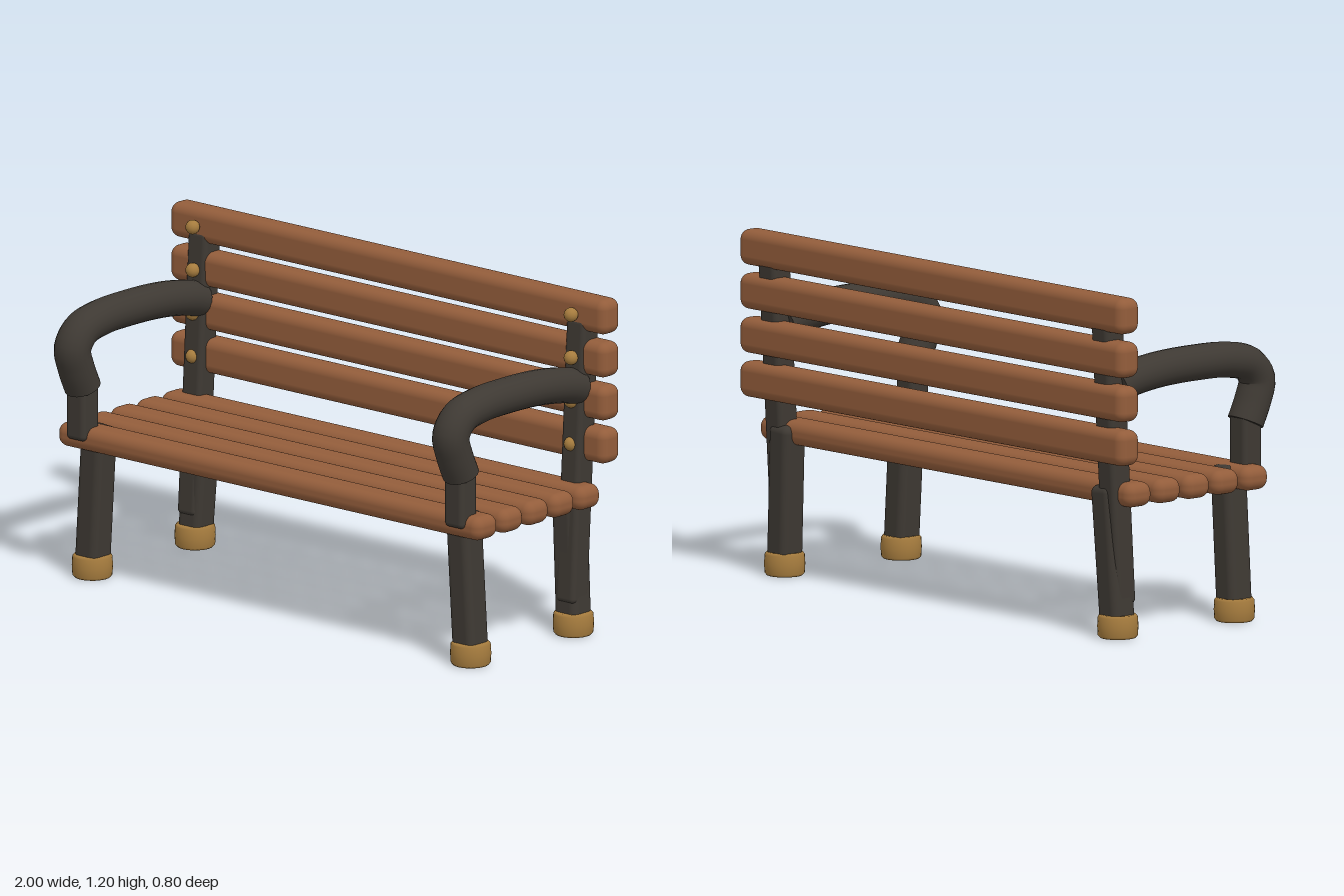
import * as THREE from 'three';
import { RoundedBoxGeometry } from 'three/addons/geometries/RoundedBoxGeometry.js';

const material = (name, color) => {
  const m = new THREE.MeshStandardMaterial({ color });
  m.name = name;
  return m;
};

export function createModel() {
  const wood = material('wood', 0x935d3b);
  const iron = material('dark iron', 0x3e3933);
  const brass = material('brass', 0xa67c3e);
  const bench = new THREE.Group();
  bench.name = 'bench';

  const add = (parent, name, geometry, mat, x, y, z) => {
    const mesh = new THREE.Mesh(geometry, mat);
    mesh.name = name;
    mesh.position.set(x, y, z);
    parent.add(mesh);
    return mesh;
  };

  // Rounded bar running between two points
  const bar = (parent, name, a, b, w, d, r) => {
    const from = new THREE.Vector3(...a), to = new THREE.Vector3(...b);
    const dir = to.clone().sub(from);
    const mid = from.clone().add(to).multiplyScalar(0.5);
    const mesh = add(parent, name, new RoundedBoxGeometry(w, dir.length(), d, 4, r), iron, mid.x, mid.y, mid.z);
    mesh.quaternion.setFromUnitVectors(new THREE.Vector3(0, 1, 0), dir.normalize());
  };

  // Seat and backrest slats
  const seatSlat = new RoundedBoxGeometry(1.94, 0.085, 0.115, 5, 0.036);
  for (let i = 0; i < 5; i++) add(bench, 'seatSlat', seatSlat, wood, 0, 0.503, 0.255 - i * 0.133);
  const backSlat = new RoundedBoxGeometry(2, 0.124, 0.096, 5, 0.034);
  for (let i = 0; i < 4; i++) add(bench, 'backSlat', backSlat, wood, 0, 0.677 + i * 0.153, -0.352);

  // Foot cap with softened rims
  const footGeometry = new THREE.LatheGeometry(
    [[0, 0], [0.062, 0], [0.069, 0.008], [0.071, 0.04], [0.069, 0.073], [0.062, 0.081], [0, 0.081]]
      .map(([r, y]) => new THREE.Vector2(r, y)), 28);
  const boltGeometry = new THREE.SphereGeometry(0.025, 16, 12);

  // Armrest path, from the front support round to the back post
  const armPath = new THREE.CatmullRomCurve3([
    [0.685, 0.286], [0.76, 0.32], [0.83, 0.338], [0.886, 0.296], [0.911, 0.2],
    [0.917, 0.05], [0.911, -0.12], [0.892, -0.25], [0.876, -0.31],
  ].map(([y, z]) => new THREE.Vector3(0, y, z)));
  const armGeometry = new THREE.TubeGeometry(armPath, 48, 0.062, 20);

  for (const side of [-1, 1]) {
    const frame = new THREE.Group();
    frame.name = side > 0 ? 'leftFrame' : 'rightFrame';
    bench.add(frame);
    const x = side * 0.867;

    // Legs lean inward towards the seat
    bar(frame, 'frontLeg', [x, 0.03, 0.235], [side * 0.835, 0.54, 0.235], 0.1, 0.102, 0.026);
    bar(frame, 'rearLeg', [x, 0.03, -0.298], [side * 0.835, 0.53, -0.312], 0.1, 0.1, 0.026);
    add(frame, 'frontFoot', footGeometry, brass, x, 0, 0.235);
    add(frame, 'rearFoot', footGeometry, brass, x, 0, -0.297);

    // Back post and bolts
    bar(frame, 'backPost', [x, 0.115, -0.288], [x, 1.115, -0.346], 0.086, 0.086, 0.018);
    for (let i = 0; i < 4; i++) add(frame, 'bolt', boltGeometry, brass, x, 0.677 + i * 0.153, -0.284);

    // Armrest, its end discs and its support
    bar(frame, 'armSupport', [x, 0.5, 0.287], [x, 0.73, 0.287], 0.086, 0.086, 0.018);
    const arm = add(frame, 'armrest', armGeometry, iron, x, 0, 0);
    arm.scale.x = 1.07;
    for (const t of [0, 1]) {
      const p = armPath.getPointAt(t);
      const cap = add(frame, 'armrestEnd', new THREE.CircleGeometry(0.062, 20), iron, x, p.y, p.z);
      const out = armPath.getTangentAt(t).multiplyScalar(t ? 1 : -1);
      cap.quaternion.setFromUnitVectors(new THREE.Vector3(0, 0, 1), out.normalize());
      cap.scale.x = 1.07;
    }
  }
  return bench;
}
